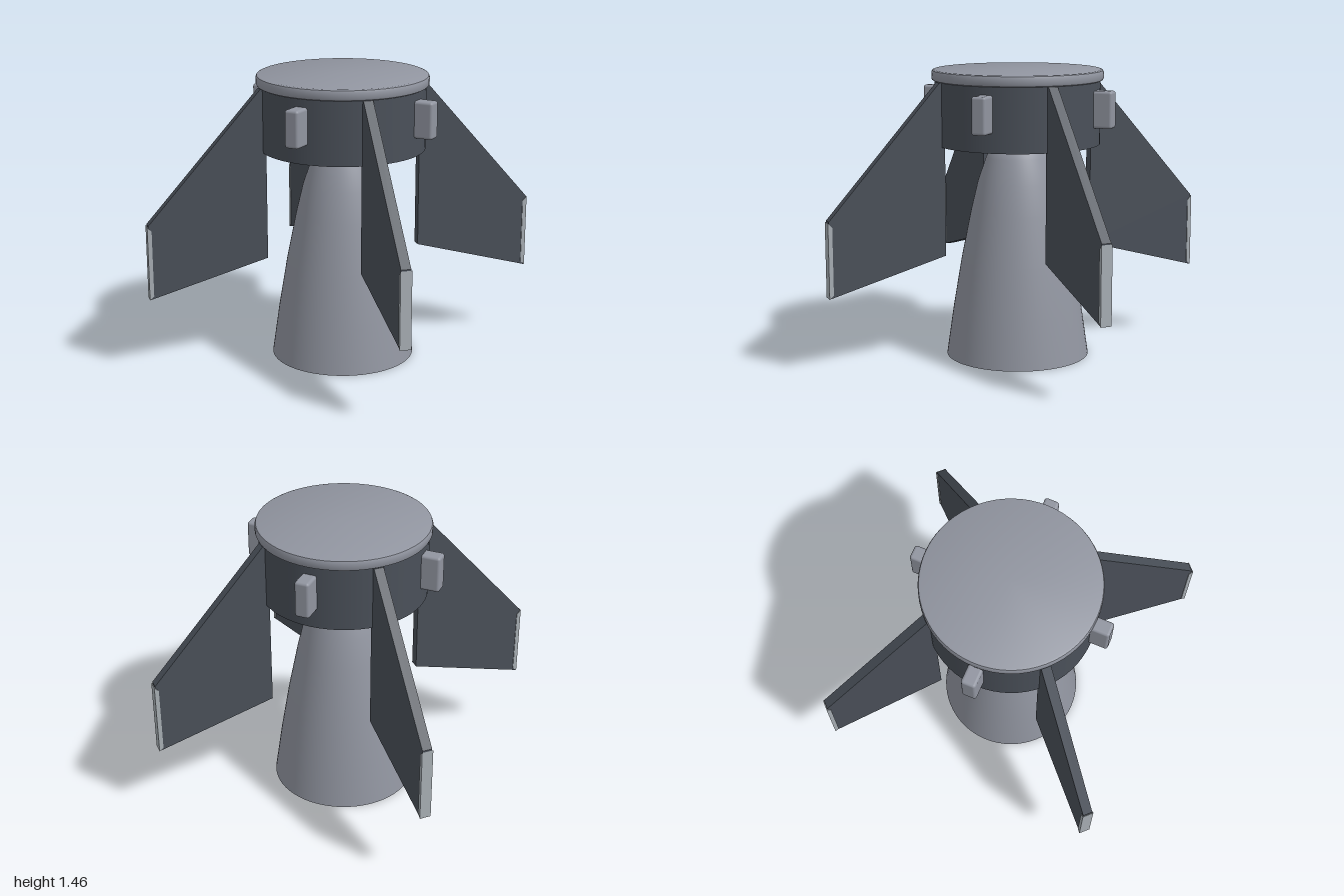
import * as THREE from 'three';
import { RoundedBoxGeometry } from 'three/addons/geometries/RoundedBoxGeometry.js';
import { toCreasedNormals } from 'three/addons/utils/BufferGeometryUtils.js';

const material = (name, color) => {
  const m = new THREE.MeshStandardMaterial({ color });
  m.name = name;
  return m;
};

// Flat plate with the given outline, centred on z = 0
function plate(points, thickness) {
  const shape = new THREE.Shape(points.map(([x, y]) => new THREE.Vector2(x, y)));
  const g = new THREE.ExtrudeGeometry(shape, { depth: thickness, bevelEnabled: false });
  return g.translate(0, 0, -thickness / 2);
}

const lathe = (points) => toCreasedNormals(
  new THREE.LatheGeometry(points.map(([r, y]) => new THREE.Vector2(r, y)), 64), 0.6);

export function createModel() {
  const model = new THREE.Group();
  const dark = material('dark grey metal', 0x4a5059);
  const light = material('light grey metal', 0x9195a0);
  const pale = material('pale grey trim', 0xa9b0b6);
  const copper = material('copper brown', 0xdc9a48);

  const add = (parent, name, geometry, mat) => {
    const mesh = new THREE.Mesh(geometry, mat);
    mesh.name = name;
    parent.add(mesh);
    return mesh;
  };

  // Hull drum and the cap with a softened rim
  add(model, 'hull', new THREE.CylinderGeometry(0.415, 0.415, 0.342, 64).translate(0, 1.259, 0), dark);
  add(model, 'cap', lathe([
    [0, 1.405], [0.418, 1.405], [0.426, 1.409], [0.43, 1.417],
    [0.43, 1.446], [0.426, 1.456], [0.417, 1.46], [0, 1.46],
  ]), light);

  // Bell nozzle, closed at the mouth by a copper disc
  add(model, 'nozzle', lathe([
    [0.363, 0], [0.327, 0.25], [0.285, 0.5], [0.235, 0.75],
    [0.199, 0.9], [0.157, 1.02], [0.142, 1.05], [0.1, 1.095], [0.08, 1.11],
  ]), light);
  add(model, 'nozzleMouth', new THREE.CircleGeometry(0.363, 64).rotateX(Math.PI / 2), copper);

  // Four swept fins with pale tip strips, and four thruster blocks between them
  const finShape = plate([[0.398, 0.545], [0.995, 0.38], [0.995, 0.76], [0.425, 1.405], [0.398, 1.405]], 0.048);
  const tipShape = plate([[0.979, 0.398], [1, 0.379], [1, 0.755], [0.979, 0.733]], 0.055);
  const blockShape = new RoundedBoxGeometry(0.14, 0.184, 0.074, 3, 0.014).translate(0.436, 1.274, 0);
  for (let i = 0; i < 4; i++) {
    const fin = new THREE.Group();
    fin.name = 'fin' + (i + 1);
    add(fin, 'finPlate', finShape, dark);
    add(fin, 'finTip', tipShape, pale);
    fin.rotation.y = i * Math.PI / 2;
    model.add(fin);
    add(model, 'thrusterBlock' + (i + 1), blockShape, light).rotation.y = (i + 0.5) * Math.PI / 2;
  }
  return model;
}
